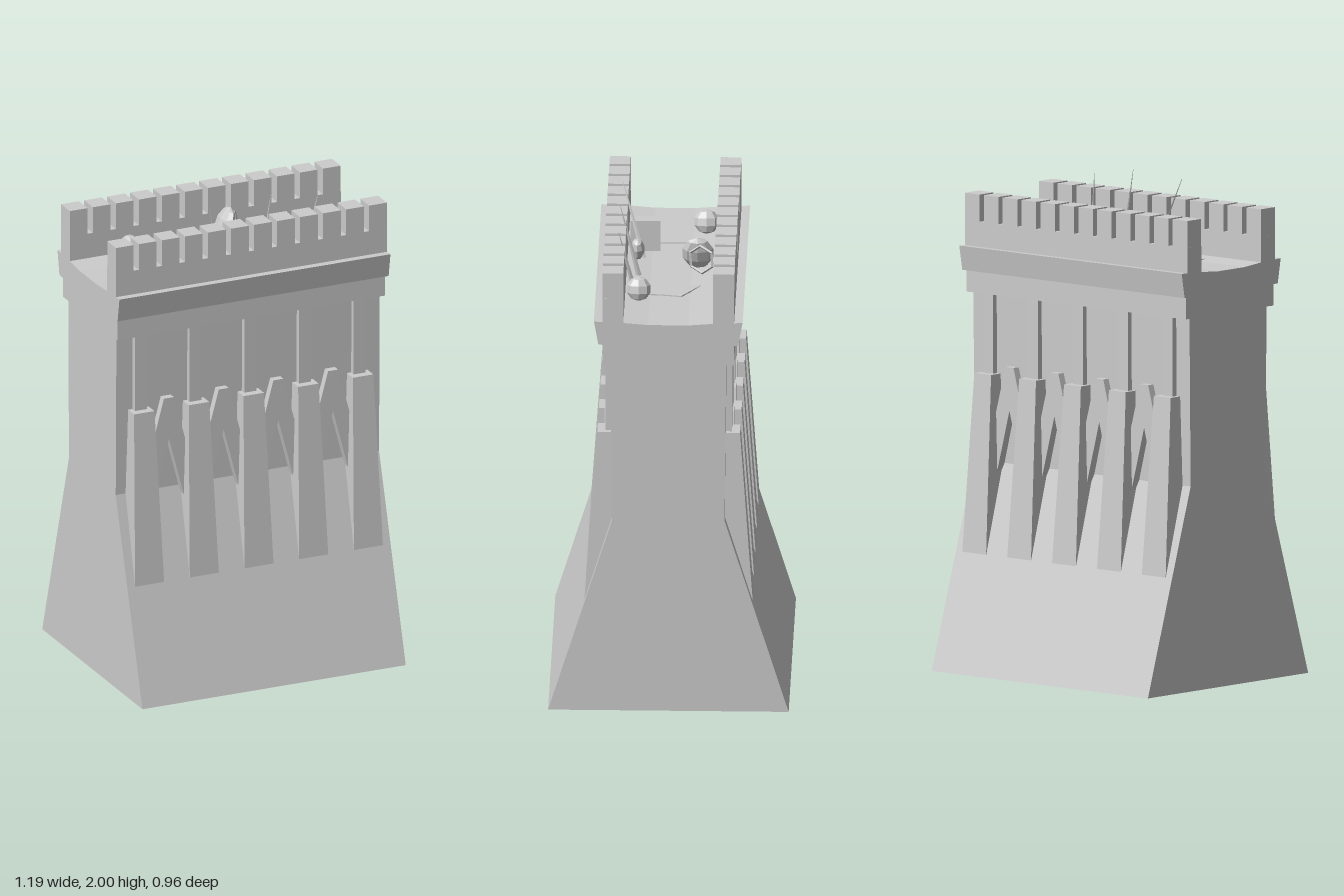
import * as THREE from 'three';

const stone = new THREE.MeshStandardMaterial({ color: 0xcccccc });
stone.name = 'pale stone';

function add(parent, geometry, name, x = 0, y = 0, z = 0) {
  const mesh = new THREE.Mesh(geometry, stone);
  mesh.name = name;
  mesh.position.set(x, y, z);
  parent.add(mesh);
  return mesh;
}

const shapeOf = pts => new THREE.Shape(pts.map(p => new THREE.Vector2(...p)));
const extrude = (pts, depth) => new THREE.ExtrudeGeometry(shapeOf(pts), { depth, bevelEnabled: false });

// Symmetric (z, y) half profile, listed bottom to top, extruded along x
function crossWall(half, width) {
  const pts = [...half, ...half.slice().reverse().map(([z, y]) => [-z, y])];
  return extrude(pts, width).translate(0, 0, -width / 2).rotateY(-Math.PI / 2);
}

// Buttress block, wider and deeper at its foot
function buttressGeometry() {
  const g = new THREE.BoxGeometry(1, 1, 1);
  const p = g.attributes.position;
  for (let i = 0; i < p.count; i++) {
    const top = p.getY(i) > 0;
    const front = p.getZ(i) > 0;
    p.setXYZ(i, p.getX(i) * (top ? 0.09 : 0.128), top ? 1.19 : 0.47, front ? (top ? 0.286 : 0.337) : 0.2);
  }
  const flat = g.toNonIndexed();
  flat.computeVertexNormals();
  return flat;
}

// Decorated face: buttresses, pilasters, pointed arches, parapet
function buildFace() {
  const face = new THREE.Group();
  const buttress = buttressGeometry();
  const pilaster = new THREE.BoxGeometry(0.053, 0.34, 0.07);
  for (let i = -2; i <= 2; i++) {
    add(face, buttress, 'buttress', i * 0.241);
    add(face, pilaster, 'pilaster', i * 0.241, 1.345, 0.218);
  }
  const arch = extrude([
    [0, 1.05], [0.068, 0.79], [0.09, 0.79], [0.09, 0.97], [0.022, 1.225],
    [-0.022, 1.225], [-0.09, 0.97], [-0.09, 0.79], [-0.068, 0.79],
  ], 0.06);
  for (let i = 0; i < 4; i++) add(face, arch, 'pointedArch', (i - 1.5) * 0.241, 0, 0.2);

  add(face, new THREE.BoxGeometry(1.194, 0.12, 0.084), 'parapetWall', 0, 1.74, 0.222);
  const merlon = new THREE.BoxGeometry(0.078, 0.11, 0.084);
  for (let i = 0; i < 12; i++) add(face, merlon, 'merlon', (i - 5.5) * 0.1014, 1.855, 0.222);
  return face;
}

// Thin bent blade between two points
function addBlade(parent, from, to) {
  const a = new THREE.Vector3(...from), b = new THREE.Vector3(...to);
  const dir = b.clone().sub(a);
  const g = new THREE.CylinderGeometry(0.001, 0.011, dir.length(), 4);
  g.scale(0.35, 1, 1);
  const m = add(parent, g.toNonIndexed(), 'splinter');
  m.geometry.computeVertexNormals();
  m.position.copy(a).add(b).multiplyScalar(0.5);
  m.quaternion.setFromUnitVectors(new THREE.Vector3(0, 1, 0), dir.normalize());
}

export function createModel() {
  const model = new THREE.Group();
  model.name = 'castleWall';

  // Battered wall body
  add(model, crossWall([[0.482, 0], [0.225, 0.83], [0.232, 1.53]], 1.16), 'wallBody');

  // Cornice and flared walkway with a shallow dip
  add(model, new THREE.BoxGeometry(1.178, 0.09, 0.526), 'cornice', 0, 1.556, 0);
  add(model, crossWall([[0.08, 1.59], [0.28, 1.6], [0.298, 1.7], [0.18, 1.695], [0.08, 1.687]], 1.194), 'walkway');

  // Front and back faces
  for (const side of [0, 1]) {
    const face = buildFace();
    face.name = side ? 'backFace' : 'frontFace';
    face.rotation.y = side * Math.PI;
    model.add(face);
  }

  // Loose slabs lying on the walkway, points given as (x, -z)
  const slabs = [
    [[-0.345, -0.125], [-0.23, -0.075], [-0.24, 0.105], [-0.36, 0.06], [-0.35, -0.03]],
    [[0.2, -0.07], [0.29, -0.135], [0.295, -0.04], [0.31, 0.045], [0.2, 0.12], [0.185, 0]],
  ];
  for (const pts of slabs) add(model, extrude(pts, 0.006).rotateX(-Math.PI / 2), 'looseSlab', 0, 1.686, 0);

  // Rubble: position, radii, tilt
  const rubble = [
    [[-0.35, 1.735, -0.13], [0.04, 0.05, 0.052], 0.3],
    [[0.05, 1.77, -0.105], [0.03, 0.08, 0.065], -0.35],
    [[0.34, 1.735, 0.125], [0.038, 0.05, 0.05], 0.2],
    [[-0.065, 1.735, 0.14], [0.036, 0.05, 0.03], -0.4],
  ];
  for (const [pos, radii, tilt] of rubble) {
    const g = new THREE.SphereGeometry(1, 8, 5).scale(...radii).rotateZ(tilt).toNonIndexed();
    g.computeVertexNormals();
    add(model, g, 'rubble', ...pos);
  }
  add(model, new THREE.BoxGeometry(0.048, 0.13, 0.12), 'fallenBlock', -0.155, 1.763, 0.11);

  // Broken hexagonal ring
  const ring = new THREE.TorusGeometry(0.055, 0.006, 4, 6).rotateY(1.1).rotateX(-0.4).toNonIndexed();
  ring.computeVertexNormals();
  add(model, ring, 'brokenRing', 0.107, 1.765, -0.12);

  // Splinters leaning on the front parapet
  addBlade(model, [-0.08, 1.69, 0.115], [-0.155, 1.99, 0.2]);
  addBlade(model, [0.1, 1.69, 0.13], [0.112, 2.0, 0.205]);
  addBlade(model, [0.28, 1.69, 0.14], [0.32, 1.97, 0.205]);
  return model;
}
